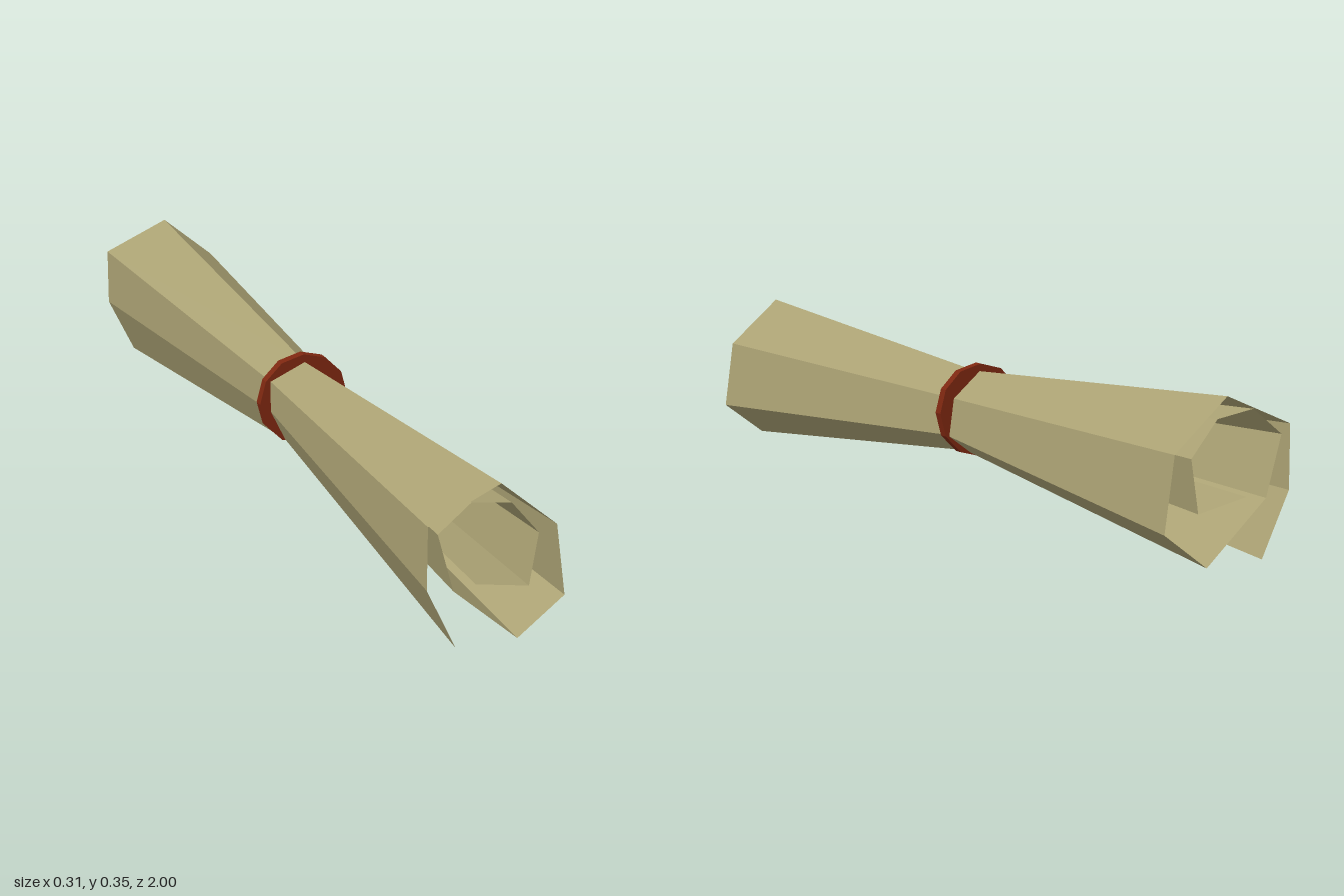
import * as THREE from 'three';

export function createModel() {
  const group = new THREE.Group();

  // Rolled sheet: an angular spiral, pinched to the waist at the middle
  const spiral = [
    [-0.09, 0.004], [-0.157, 0.143], [-0.157, 0.282], [0.004, 0.351],
    [0.133, 0.242], [0.156, 0.08], [0.05, 0.001], [-0.098, 0.132],
    [-0.135, 0.262], [-0.062, 0.32], [0.028, 0.306], [0.092, 0.23],
    [0.073, 0.115], [-0.048, 0.139],
  ];
  const cx = -0.02, cy = 0.2;
  const stations = [[1, 1], [0, 0.535], [-1, 1]]; // z, scale
  const positions = [];
  for (const [z, s] of stations)
    for (const [x, y] of spiral) positions.push(cx + (x - cx) * s, cy + (y - cy) * s, z);

  const n = spiral.length, index = [];
  for (let j = 0; j < stations.length - 1; j++)
    for (let i = 0; i < n - 1; i++) {
      const a = j * n + i, b = a + 1, c = a + n, d = c + 1;
      index.push(a, b, c, b, d, c);
    }
  let sheet = new THREE.BufferGeometry();
  sheet.setAttribute('position', new THREE.Float32BufferAttribute(positions, 3));
  sheet.setIndex(index);
  sheet = sheet.toNonIndexed();
  sheet.computeVertexNormals();
  // Clockwise spiral: reversed corner order would face inward, both sides are shown
  const scroll = new THREE.Mesh(sheet, new THREE.MeshStandardMaterial({
    color: 0xaaa173, flatShading: true, side: THREE.DoubleSide,
  }));
  scroll.name = 'scrollSheet';
  group.add(scroll);

  // Thin seal disc around the waist
  const disc = new THREE.CylinderGeometry(0.11, 0.11, 0.022, 12);
  disc.rotateX(Math.PI / 2);
  const seal = new THREE.Mesh(disc, new THREE.MeshStandardMaterial({
    color: 0x7d2710, flatShading: true,
  }));
  seal.name = 'sealBand';
  seal.position.set(-0.01, 0.19, -0.011);
  group.add(seal);

  return group;
}
